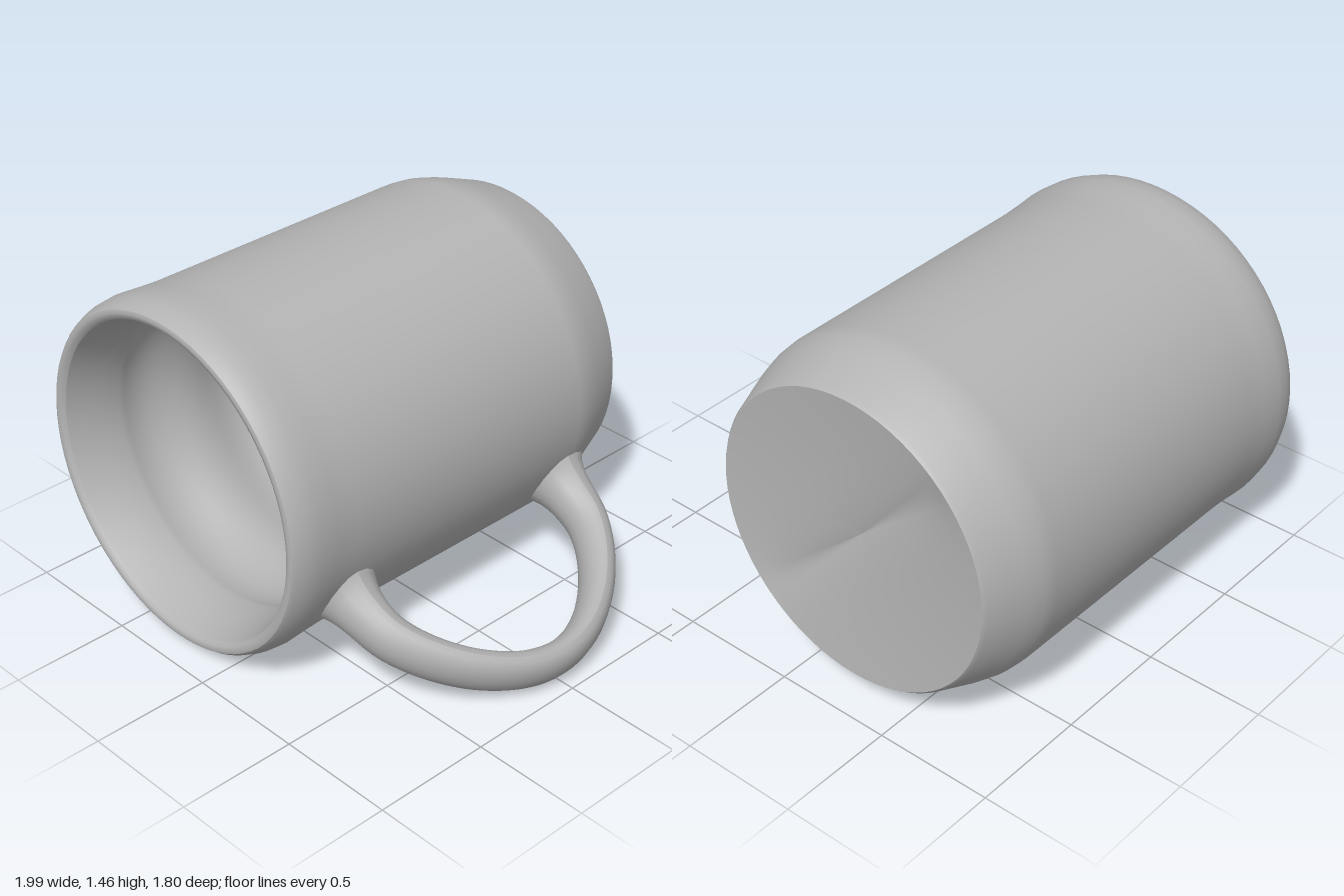
import * as THREE from 'three';

const CENTER_X = -0.27;
const CENTER_Y = 0.735;
const SEGMENTS = 72;

const toVectors = (pairs) => pairs.map(([r, z]) => new THREE.Vector2(r, z));

// Revolves a profile of [radius, z] pairs about the z axis.
function revolve(points, name, material) {
  const geometry = new THREE.LatheGeometry(points, SEGMENTS);
  geometry.rotateX(Math.PI / 2);
  const mesh = new THREE.Mesh(geometry, material);
  mesh.name = name;
  return mesh;
}

// Base disc: slightly dished, with a shallow fold running across it.
function makeBase(material) {
  const radius = 0.625;
  const rings = 16;
  const points = [];
  for (let i = 0; i <= rings; i++) points.push(new THREE.Vector2((radius * i) / rings, -0.9));
  const mesh = revolve(points, 'base', material);
  const p = mesh.geometry.attributes.position;
  for (let i = 0; i < p.count; i++) {
    const x = p.getX(i);
    const y = p.getY(i);
    const t = Math.min(1, Math.hypot(x, y) / radius);
    const foldDistance = Math.abs(x + y) * Math.SQRT1_2;
    const dish = 0.03 * (1 - t * t);
    const fold = 0.035 * Math.exp(-foldDistance / 0.09) * (1 - t ** 4);
    p.setZ(i, -0.9 + dish + fold);
  }
  mesh.geometry.computeVertexNormals();
  return mesh;
}

// Looped handle with an oval section that swells towards both roots.
function makeHandle(material) {
  const half = [[0.69, 0.575], [0.82, 0.57], [0.94, 0.55], [1.08, 0.47], [1.22, 0.33], [1.315, 0.16]];
  const path = [
    ...half.map(([r, z]) => new THREE.Vector3(r, 0, z)),
    new THREE.Vector3(1.345, 0, 0),
    ...half.slice().reverse().map(([r, z]) => new THREE.Vector3(r, 0, -z)),
  ];
  const curve = new THREE.CatmullRomCurve3(path, false, 'centripetal');
  const steps = 56;
  const sides = 18;
  const geometry = new THREE.TubeGeometry(curve, steps, 1, sides, false);
  const p = geometry.attributes.position;
  const v = new THREE.Vector3();
  for (let i = 0; i < p.count; i++) {
    const t = Math.floor(i / (sides + 1)) / steps;
    const c = curve.getPointAt(t);
    const end = Math.abs(2 * t - 1);
    const thick = 0.062 + 0.04 * end ** 3 + 0.05 * end ** 16;
    const wide = 0.105 + 0.05 * end ** 14;
    v.fromBufferAttribute(p, i).sub(c);
    p.setXYZ(i, c.x + v.x * thick, v.y * wide, c.z + v.z * thick);
  }
  geometry.computeVertexNormals();
  const mesh = new THREE.Mesh(geometry, material);
  mesh.name = 'handle';
  mesh.rotation.z = THREE.MathUtils.degToRad(-28);
  return mesh;
}

export function createModel() {
  const model = new THREE.Group();
  model.name = 'mug';
  const glaze = new THREE.MeshStandardMaterial({ color: 0xb4b4b4 });
  glaze.name = 'grey glaze';

  const mug = new THREE.Group();
  mug.name = 'mugLyingOnSide';
  mug.position.set(CENTER_X, CENTER_Y, 0);
  model.add(mug);

  // Outer wall, narrowing towards the base
  mug.add(revolve(toVectors([
    [0.625, -0.9], [0.637, -0.885], [0.665, -0.81], [0.695, -0.73], [0.715, -0.66], [0.721, -0.6],
    [0.721, 0], [0.721, 0.6], [0.726, 0.7], [0.732, 0.78], [0.726, 0.84], [0.71, 0.885], [0.698, 0.9],
  ]), 'outerWall', glaze));

  // Rounded rim
  mug.add(revolve(toVectors([
    [0.698, 0.9], [0.685, 0.904], [0.668, 0.9], [0.655, 0.885],
  ]), 'rim', glaze));

  // Inner wall with soft ridges
  const inner = toVectors([[0.655, 0.885], [0.635, 0.82], [0.618, 0.74], [0.61, 0.66]]);
  for (let i = 1; i <= 40; i++) {
    const t = i / 40;
    const ridge = 0.02 * Math.sin(t * Math.PI * 6);
    inner.push(new THREE.Vector2(0.61 - 0.035 * t + ridge, 0.66 - 1.36 * t));
  }
  mug.add(revolve(inner, 'innerWall', glaze));

  // Inside floor
  mug.add(revolve(toVectors([
    [0.575, -0.7], [0.52, -0.745], [0.42, -0.775], [0.25, -0.79], [0, -0.795],
  ]), 'innerFloor', glaze));

  mug.add(makeBase(glaze));
  mug.add(makeHandle(glaze));
  return model;
}
